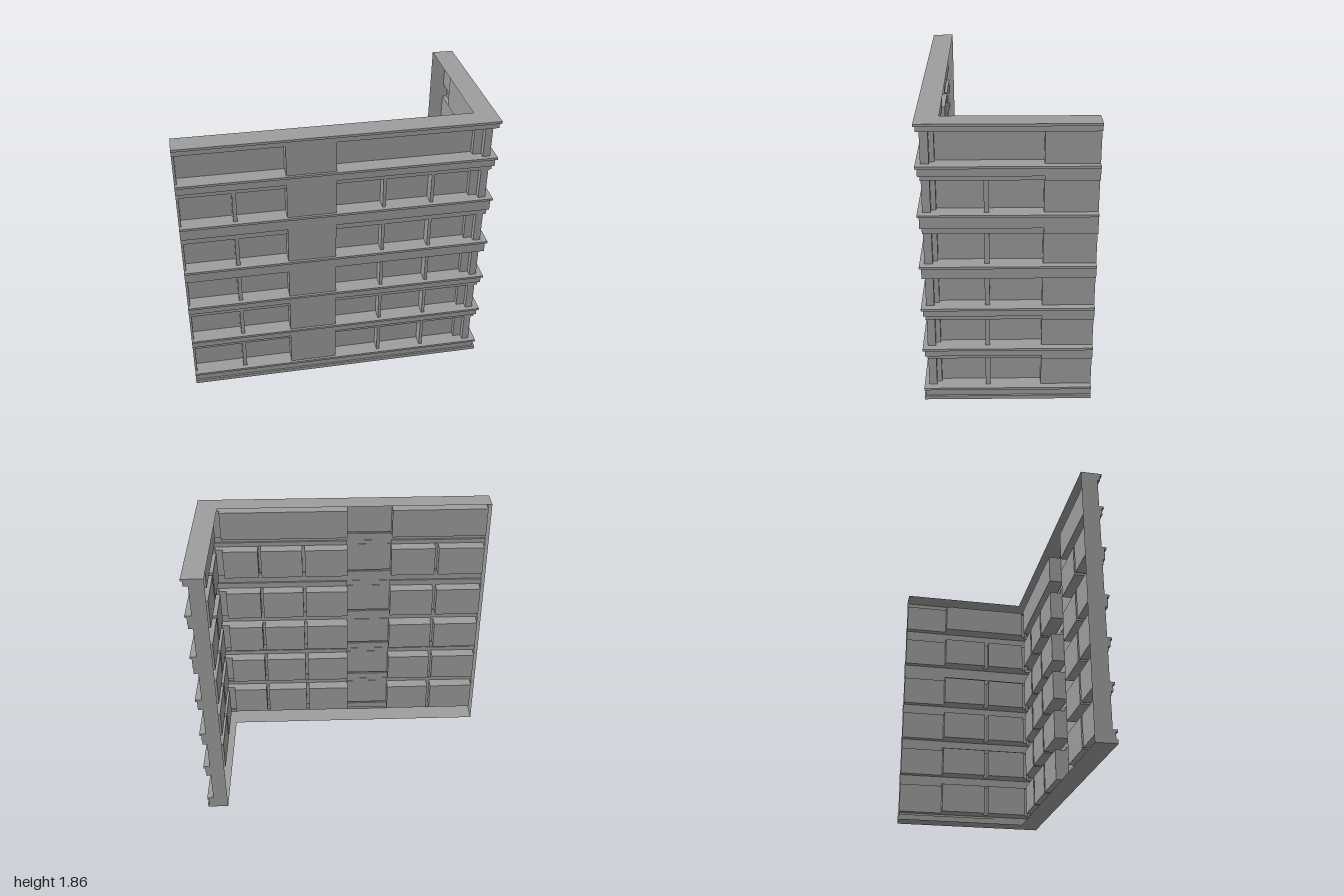
import * as THREE from 'three';

const material = new THREE.MeshStandardMaterial({ color: 0x9d9d9d, side: THREE.DoubleSide });
const H = 1.86, X = 1, Z = 0.53, DEPTH = 0.14;
// Set-backs from the outermost face
const MOULD = 0, BAND = 0.012, FLUSH = 0.014, LINTEL = 0.025, PANEL = 0.016;

// L-shaped plan line, set back by d from the outermost face
const plan = d => [[-X, Z - d], [X - d, Z - d], [X - d, -Z]];

// Plan line from [start, end, plane] pieces running along the front, then along the side
const stepped = (front, side) => [
  ...front.flatMap(([a, b, z]) => [[a, z], [b, z]]),
  ...side.flatMap(([a, b, x]) => [[x, a], [x, b]]).slice(1),
];

// The lintel steps back over the recesses only
const lintelPlan = stepped(
  [[-X, -0.33, Z - LINTEL], [-0.33, -0.02, Z - FLUSH], [-0.02, X - LINTEL, Z - LINTEL]],
  [[Z - LINTEL, -0.21, X - LINTEL], [-0.21, -Z, X - FLUSH]],
);

// Plan line of a storey: recesses, pillars, wide panels and a corner post
function storeyPlan(pillars) {
  const pz = 0.5, rz = 0.425, px = 0.957, rx = 0.895;
  const front = [[-1, -0.985, pz]];
  if (pillars) front.push([-0.985, -0.665, rz], [-0.665, -0.64, pz], [-0.64, -0.33, rz]);
  else front.push([-0.985, -0.33, rz]);
  front.push([-0.33, -0.02, Z - PANEL]);
  if (pillars) front.push([-0.02, 0.28, rz], [0.28, 0.3, pz], [0.3, 0.59, rz], [0.59, 0.61, pz], [0.61, 0.855, rz]);
  else front.push([-0.02, 0.855, rz]);
  front.push([0.855, 0.91, 0.46], [0.91, px, pz]);
  const side = [[pz, 0.45, px], [0.45, 0.42, 0.922]];
  if (pillars) side.push([0.42, 0.14, rx], [0.14, 0.11, px], [0.11, -0.21, rx]);
  else side.push([0.42, -0.21, rx]);
  side.push([-0.21, -Z, px]);
  return stepped(front, side);
}

function addMesh(group, name, geometry) {
  const mesh = new THREE.Mesh(geometry, material);
  mesh.name = name;
  group.add(mesh);
}

// Upright sheet following a plan line
function wall(path, y0, y1) {
  const p = [];
  for (let i = 0; i < path.length - 1; i++) {
    const [ax, az] = path[i], [bx, bz] = path[i + 1];
    p.push(ax, y0, az, bx, y0, bz, bx, y1, bz, ax, y0, az, bx, y1, bz, ax, y1, az);
  }
  const g = new THREE.BufferGeometry();
  g.setAttribute('position', new THREE.Float32BufferAttribute(p, 3));
  g.computeVertexNormals();
  return g;
}

// Flat sheet between two plan lines at one height
function ledge(a, b, y, up) {
  const points = [...a, ...[...b].reverse()].map(([x, z]) => new THREE.Vector2(x, up ? -z : z));
  const g = new THREE.ShapeGeometry(new THREE.Shape(points));
  return g.rotateX(up ? -Math.PI / 2 : Math.PI / 2).translate(0, y, 0);
}

export function createModel() {
  const group = new THREE.Group();
  group.name = 'cornerFacade';

  // Levels from the ground up: base mouldings, then the storeys
  const levels = [];
  const add = (name, y0, y1, d, path = plan(d)) => levels.push({ name, y0, y1, d, path });
  add('baseMoulding', 0, 0.025, MOULD);
  add('baseBand', 0.025, 0.07, BAND);
  add('sillMoulding', 0.07, 0.085, MOULD);

  // [recess bottom, recess top, lintel top, band top, moulding top]
  const storeys = [
    [0.085, 0.295, 0.32, 0.365, 0.38],
    [0.38, 0.58, 0.61, 0.655, 0.67],
    [0.67, 0.875, 0.875, 0.945, 0.96],
    [0.96, 1.17, 1.21, 1.285, 1.3],
    [1.3, 1.51, 1.54, 1.59, 1.605],
    [1.605, 1.81, 1.81, 1.845, H],
  ];
  storeys.forEach(([y0, y1, y2, y3, y4], i) => {
    add('storeyWall', y0, y1, 0.03, storeyPlan(i < 5));
    if (y2 > y1) add('lintel', y1, y2, LINTEL, lintelPlan);
    add('floorBand', y2, y3, BAND);
    add('floorMoulding', y3, y4, MOULD);
  });

  // Sheets of every level and the ledges where two levels meet
  levels.forEach((l, i) => {
    addMesh(group, l.name, wall(l.path, l.y0, l.y1));
    const next = levels[i + 1];
    if (!next) return;
    const up = l.d < next.d;
    const [outer, inner] = up ? [l, next] : [next, l];
    addMesh(group, l.name + 'Ledge', ledge(outer.path, inner.path, l.y1, up));
  });

  // Roof and ground slabs over the full wall depth
  addMesh(group, 'topSlab', ledge(plan(0), plan(DEPTH), H, true));
  addMesh(group, 'bottomSlab', ledge(plan(0), plan(DEPTH), 0, false));

  // End walls, outlined by the moulding profile where each level stops
  const endWall = setBack => new THREE.ShapeGeometry(new THREE.Shape([
    new THREE.Vector2(-DEPTH, 0),
    ...levels.flatMap(l => [l.y0, l.y1].map(y => new THREE.Vector2(-setBack(l.path), y))),
    new THREE.Vector2(-DEPTH, H),
  ]));
  addMesh(group, 'frontWingEnd', endWall(path => Z - path[0][1]).rotateY(-Math.PI / 2).translate(-X, 0, Z));
  addMesh(group, 'sideWingEnd', endWall(path => X - path.at(-1)[0]).rotateY(Math.PI).scale(-1, 1, 1).translate(X, 0, -Z));
  return group;
}
